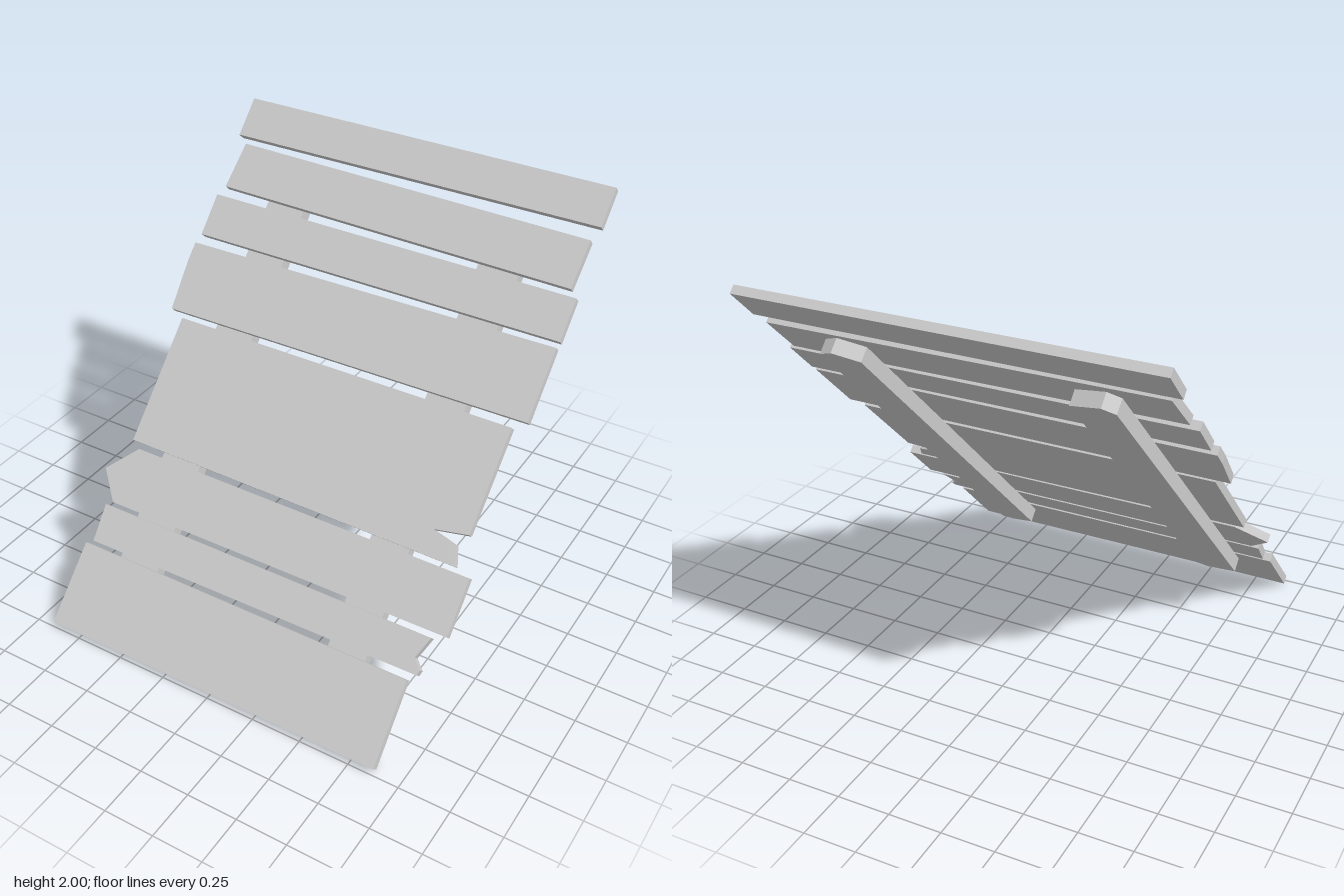
import * as THREE from 'three';

const SLOPE = Math.SQRT2; // outlines give real height; the panel leans at 45 degrees
const BOARD = 0.042;
const BEAM = 0.071;

// Extrudes an [x, height] outline from the given depth towards the front
function slab(name, outline, back, depth, material) {
  const shape = new THREE.Shape(outline.map(([x, y]) => new THREE.Vector2(x, y * SLOPE)));
  const geometry = new THREE.ExtrudeGeometry(shape, { depth, bevelEnabled: false });
  geometry.translate(0, 0, back);
  const mesh = new THREE.Mesh(geometry, material);
  mesh.name = name;
  return mesh;
}

export function createModel() {
  const model = new THREE.Group();
  model.name = 'plankPanel';
  const grey = new THREE.MeshStandardMaterial({ color: 0xcccccc });
  grey.name = 'plain grey';

  // Leaning panel, its front face turned up and forward
  const panel = new THREE.Group();
  panel.name = 'leaningPanel';
  panel.rotation.x = -Math.PI / 4;
  panel.position.z = 1.03;
  model.add(panel);

  // Uneven boards, bottom to top, some with broken ends
  const boards = [
    [[-0.905, 0.033], [0.873, 0.036], [0.868, 0.325], [-0.905, 0.325]],
    [[-0.87, 0.34], [0.903, 0.35], [0.91, 0.368], [0.867, 0.398], [0.905, 0.472], [-0.883, 0.472]],
    [[-0.85, 0.487], [0.97, 0.492], [0.97, 0.686], [-0.825, 0.69], [-0.962, 0.587]],
    [[-0.877, 0.712], [0.89, 0.703], [0.857, 0.768], [0.735, 0.789], [0.9, 0.81], [0.905, 1.17], [-0.88, 1.17]],
    [[-0.957, 1.19], [0.965, 1.2], [0.965, 1.453], [-0.975, 1.44], [-0.975, 1.37]],
    [[-0.96, 1.475], [0.97, 1.474], [0.97, 1.622], [-0.963, 1.628]],
    [[-0.935, 1.664], [0.93, 1.646], [0.936, 1.814], [-0.92, 1.832]],
    [[-0.975, 1.858], [0.96, 1.863], [0.96, 2], [-0.975, 2]],
  ];
  boards.forEach((outline, i) => panel.add(slab(`board${i + 1}`, outline, -BOARD, BOARD, grey)));

  // Two rear beams with blunt pointed ends
  const beams = {
    leftBeam: [[0.452, 0.26], [0.582, 0.232], [0.642, 0.24], [0.665, 1.772], [0.59, 1.8], [0.46, 1.772]],
    rightBeam: [[-0.718, 0.258], [-0.566, 0.236], [-0.5, 0.258], [-0.492, 1.77], [-0.64, 1.8], [-0.696, 1.774]],
  };
  for (const [name, outline] of Object.entries(beams)) {
    panel.add(slab(name, outline, -BOARD - BEAM, BEAM, grey));
  }
  return model;
}
